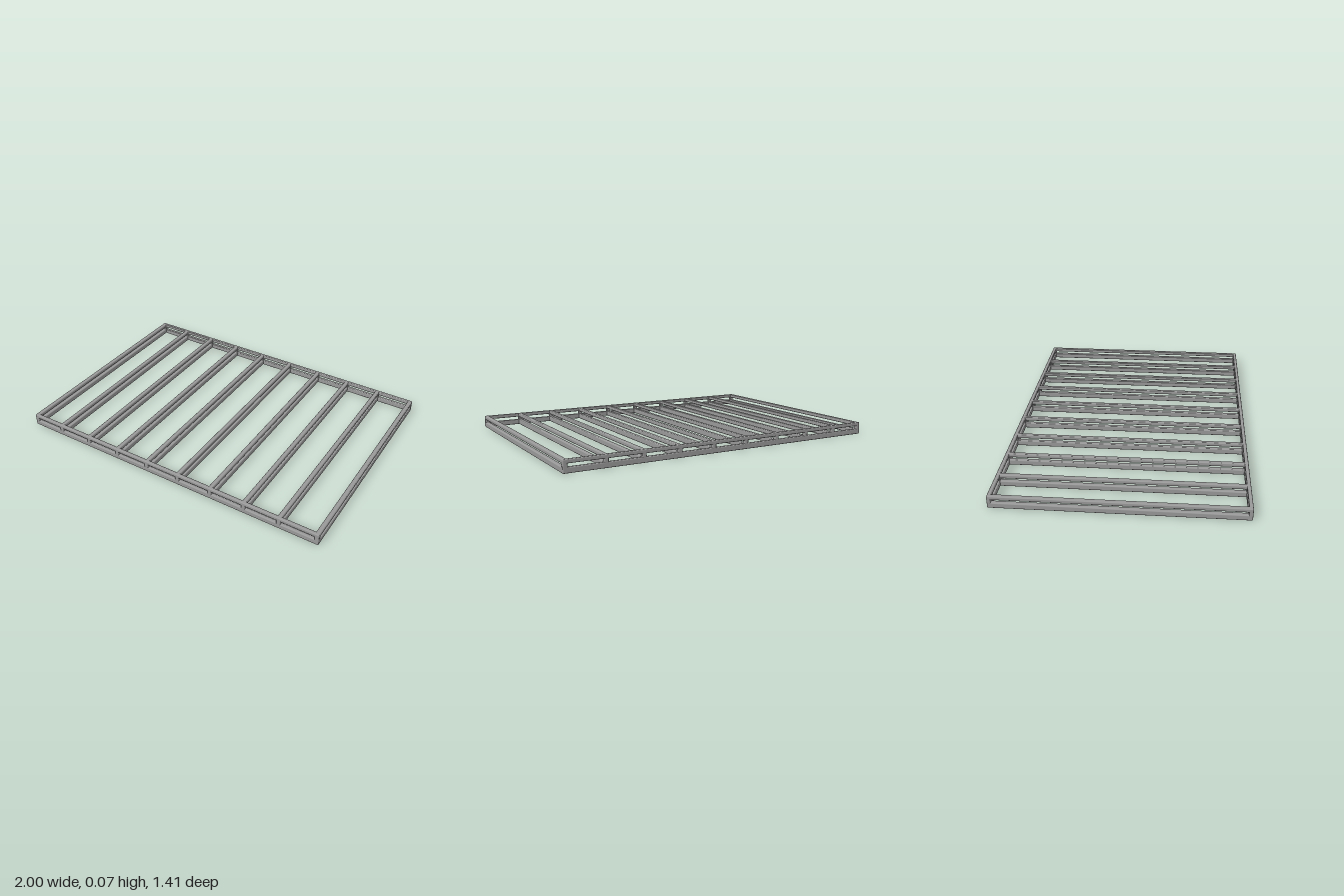
import * as THREE from 'three';
import { RoundedBoxGeometry } from 'three/addons/geometries/RoundedBoxGeometry.js';

export function createModel() {
  const model = new THREE.Group();
  model.name = 'slattedFrame';
  const steel = new THREE.MeshStandardMaterial({ color: 0x999999 });
  steel.name = 'grey steel';

  const HALF_X = 1, HALF_Z = 0.705;
  // Vertical extents of the two layers of bars
  const LOWER = [0.0, 0.033], UPPER = [0.051, 0.074];

  // Softly rounded bar given by its centre, plan size and vertical extent
  function bar(parent, name, x, z, width, depth, [y0, y1]) {
    const geometry = new RoundedBoxGeometry(width, y1 - y0, depth, 2, 0.006);
    const mesh = new THREE.Mesh(geometry, steel);
    mesh.name = name;
    mesh.position.set(x, (y0 + y1) / 2, z);
    parent.add(mesh);
  }

  // Long front and back rails, one above the other
  for (const [side, name] of [[1, 'front'], [-1, 'back']]) {
    const z = side * (HALF_Z - 0.011);
    bar(model, name + 'LowerRail', 0, z, HALF_X * 2, 0.022, LOWER);
    bar(model, name + 'UpperRail', 0, z, HALF_X * 2, 0.022, UPPER);
  }

  // A pair of bars running front to back, joined by a post at each end
  function crossFrame(name, x, width) {
    const group = new THREE.Group();
    group.name = name;
    bar(group, 'lowerBar', x, 0, width, HALF_Z * 2 - 0.012, LOWER);
    bar(group, 'upperBar', x, 0, width, HALF_Z * 2 - 0.012, UPPER);
    for (const side of [-1, 1]) {
      bar(group, 'endPost', x, side * (HALF_Z - 0.011), width, 0.022, [0.003, 0.071]);
    }
    model.add(group);
  }

  // Outer sides
  crossFrame('leftSide', HALF_X - 0.0135, 0.027);
  crossFrame('rightSide', -HALF_X + 0.0135, 0.027);

  // Evenly spaced slats
  for (let i = 0; i < 8; i++) crossFrame('slat' + (i + 1), -0.78 + i * 0.22, 0.026);

  return model;
}
